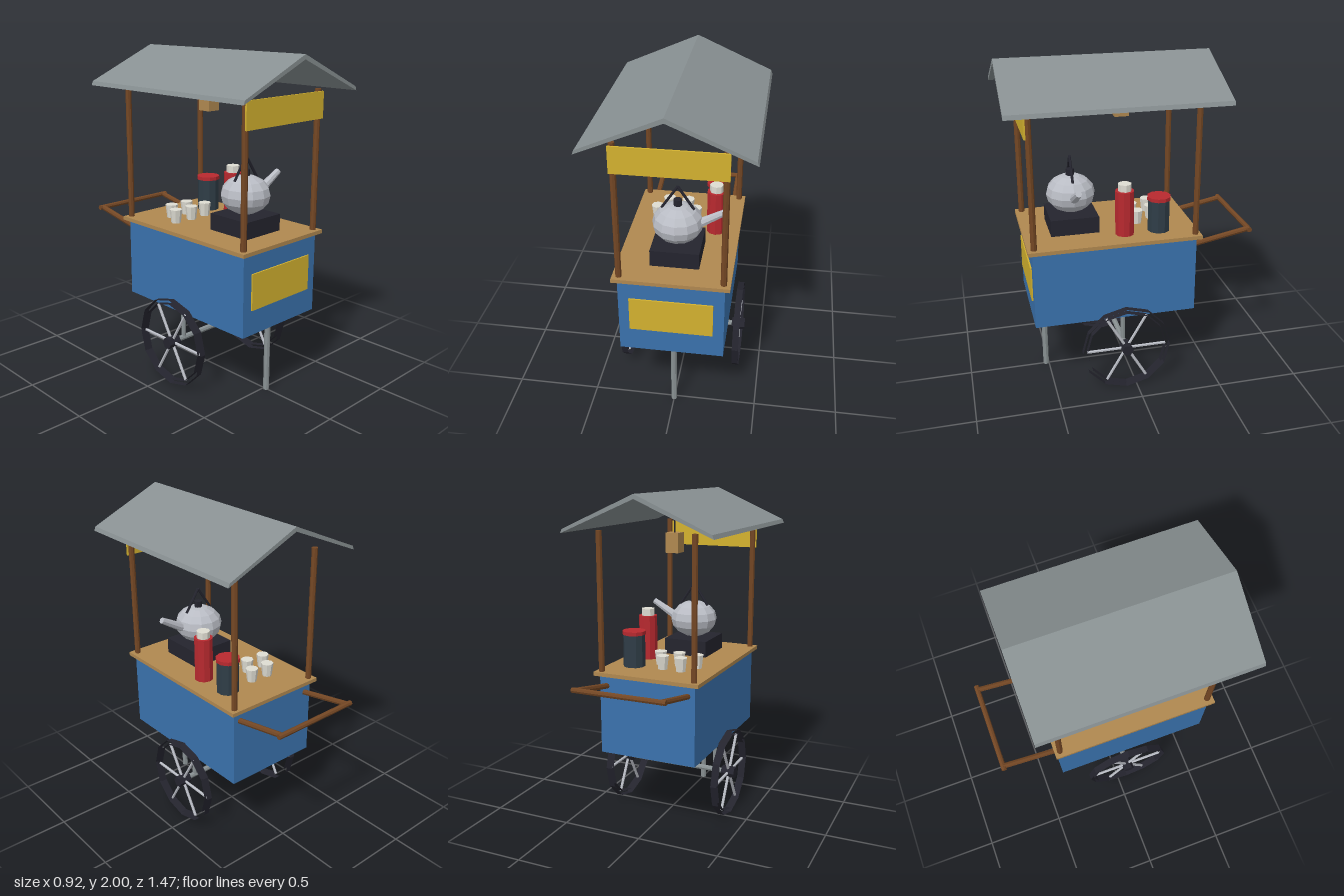
import * as THREE from 'three';

const mat = (name, color, opts = {}) => {
  const m = new THREE.MeshStandardMaterial({ color, flatShading: true, ...opts });
  m.name = name;
  return m;
};

export function createModel() {
  const blue = mat('blue paint', 0x3a72ad);
  const yellow = mat('yellow sign', 0xd4b22f);
  const grey = mat('grey metal', 0x889092);
  const tan = mat('tan board', 0xb08850);
  const wood = mat('brown wood', 0x744724);
  const silver = mat('silver metal', 0xb9bcc4);
  const red = mat('red enamel', 0xb8292f);
  const dark = mat('dark iron', 0x24242e, { side: THREE.DoubleSide });
  const slate = mat('slate tin', 0x2f3d47);
  const cream = mat('cream china', 0xdedcd2);

  const model = new THREE.Group();
  model.name = 'streetCart';

  const add = (name, geo, material, parent = model) => {
    const m = new THREE.Mesh(geo, material);
    m.name = name;
    parent.add(m);
    return m;
  };
  // Box given by its lower and upper limits
  const box = (name, material, [x0, y0, z0], [x1, y1, z1], parent) => {
    const m = add(name, new THREE.BoxGeometry(x1 - x0, y1 - y0, z1 - z0), material, parent);
    m.position.set((x0 + x1) / 2, (y0 + y1) / 2, (z0 + z1) / 2);
    return m;
  };
  // Round bar from point a to point b
  const bar = (name, material, a, b, r0, r1 = r0, sides = 8, parent = model) => {
    const p = new THREE.Vector3(...a), q = new THREE.Vector3(...b);
    const d = q.clone().sub(p);
    const m = add(name, new THREE.CylinderGeometry(r1, r0, d.length(), sides), material, parent);
    m.position.copy(p).add(q).multiplyScalar(0.5);
    m.quaternion.setFromUnitVectors(new THREE.Vector3(0, 1, 0), d.normalize());
    return m;
  };

  // Cart body and counter
  const top = 0.963;
  box('cartBody', blue, [-0.305, 0.457, -0.378], [0.305, 0.94, 0.606]);
  box('counter', tan, [-0.335, 0.94, -0.405], [0.335, top, 0.633]);
  box('frontPanel', yellow, [-0.242, 0.607, 0.606], [0.242, 0.822, 0.615]);

  // Posts, sign and gable roof
  for (const x of [-0.296, 0.296])
    for (const z of [0.594, -0.371])
      bar('roofPost', wood, [x, top, z], [x, 1.79, z], 0.018);
  box('signBoard', yellow, [-0.315, 1.622, 0.61], [0.315, 1.777, 0.621]);
  const gable = new THREE.Shape([
    [0, 2], [-0.45, 1.802], [-0.46, 1.778], [0, 1.973], [0.46, 1.778], [0.45, 1.802],
  ].map(([x, y]) => new THREE.Vector2(x, y)));
  gable.closePath();
  const roof = add('roof', new THREE.ExtrudeGeometry(gable, { depth: 1.25, bevelEnabled: false }), grey);
  roof.position.z = -0.514;

  // Hanging lantern
  bar('lanternCord', dark, [0, 1.75, 0.018], [0, 1.905, 0.018], 0.005, 0.005, 6);
  box('lantern', tan, [-0.042, 1.638, -0.024], [0.042, 1.757, 0.06]);

  // Push handle
  for (const x of [-0.26, 0.26])
    bar('handleArm', wood, [x, 0.872, -0.34], [x, 0.945, -0.722], 0.017);
  bar('handleGrip', wood, [-0.286, 0.945, -0.722], [0.286, 0.945, -0.722], 0.016);

  // Undercarriage
  const ay = 0.272, az = 0.065;
  bar('frontLeg', grey, [0, 0, 0.518], [0, 0.457, 0.518], 0.018);
  bar('axle', grey, [-0.36, ay, az], [0.36, ay, az], 0.017);
  for (const x of [-0.26, 0.26])
    bar('axleStrut', grey, [x, ay, az], [x, 0.457, az], 0.014);

  // Wheels: two open bands, spokes and a hub
  for (const side of [-1, 1]) {
    const wheel = new THREE.Group();
    wheel.name = side > 0 ? 'leftWheel' : 'rightWheel';
    wheel.position.set(side * 0.355, ay, az);
    for (const r of [0.272, 0.246]) {
      const rim = add('wheelRim', new THREE.CylinderGeometry(r, r, 0.038, 12, 1, true), dark, wheel);
      rim.rotation.z = Math.PI / 2;
    }
    for (let i = 0; i < 3; i++) {
      const a = (i * Math.PI) / 3, c = 0.246 * Math.cos(a), s = 0.246 * Math.sin(a);
      bar('spoke', silver, [0, -s, -c], [0, s, c], 0.009, 0.009, 6, wheel);
    }
    const hub = add('hub', new THREE.CylinderGeometry(0.036, 0.036, 0.084, 6), dark, wheel);
    hub.rotation.z = Math.PI / 2;
    model.add(wheel);
  }

  // Stove and kettle
  box('stove', dark, [-0.142, top, 0.18], [0.142, 1.064, 0.47]);
  const kettle = new THREE.Group();
  kettle.name = 'kettle';
  kettle.position.set(0, 1.18, 0.325);
  model.add(kettle);
  const belly = add('kettleBody', new THREE.SphereGeometry(0.148, 12, 8), silver, kettle);
  belly.scale.y = 0.785;
  bar('kettleSpout', silver, [0.11, -0.005, 0], [0.283, 0.095, 0], 0.029, 0.019, 8, kettle);
  bar('lidKnob', dark, [0, 0.1, 0], [0, 0.15, 0], 0.025, 0.025, 8, kettle);
  for (const s of [-1, 1])
    bar('kettleHandle', dark, [s * 0.093, 0.09, 0], [0, 0.23, 0], 0.008, 0.008, 6, kettle);

  // Flask and tea tin
  bar('flask', red, [0.19, top, 0.037], [0.19, 1.237, 0.037], 0.057, 0.057, 10);
  bar('flaskCap', cream, [0.19, 1.237, 0.037], [0.19, 1.28, 0.037], 0.041, 0.041, 8);
  bar('teaTin', slate, [0.18, top, -0.175], [0.18, 1.162, -0.175], 0.067, 0.067, 10);
  bar('teaTinLid', red, [0.18, 1.16, -0.175], [0.18, 1.182, -0.175], 0.072, 0.072, 10);

  // Cups in two staggered rows
  for (const [x, z] of [[-0.19, -0.073], [-0.07, -0.065], [0.05, -0.073], [-0.13, -0.18], [-0.01, -0.175]])
    bar('cup', cream, [x, top, z], [x, 1.046, z], 0.029, 0.039, 8);

  return model;
}
